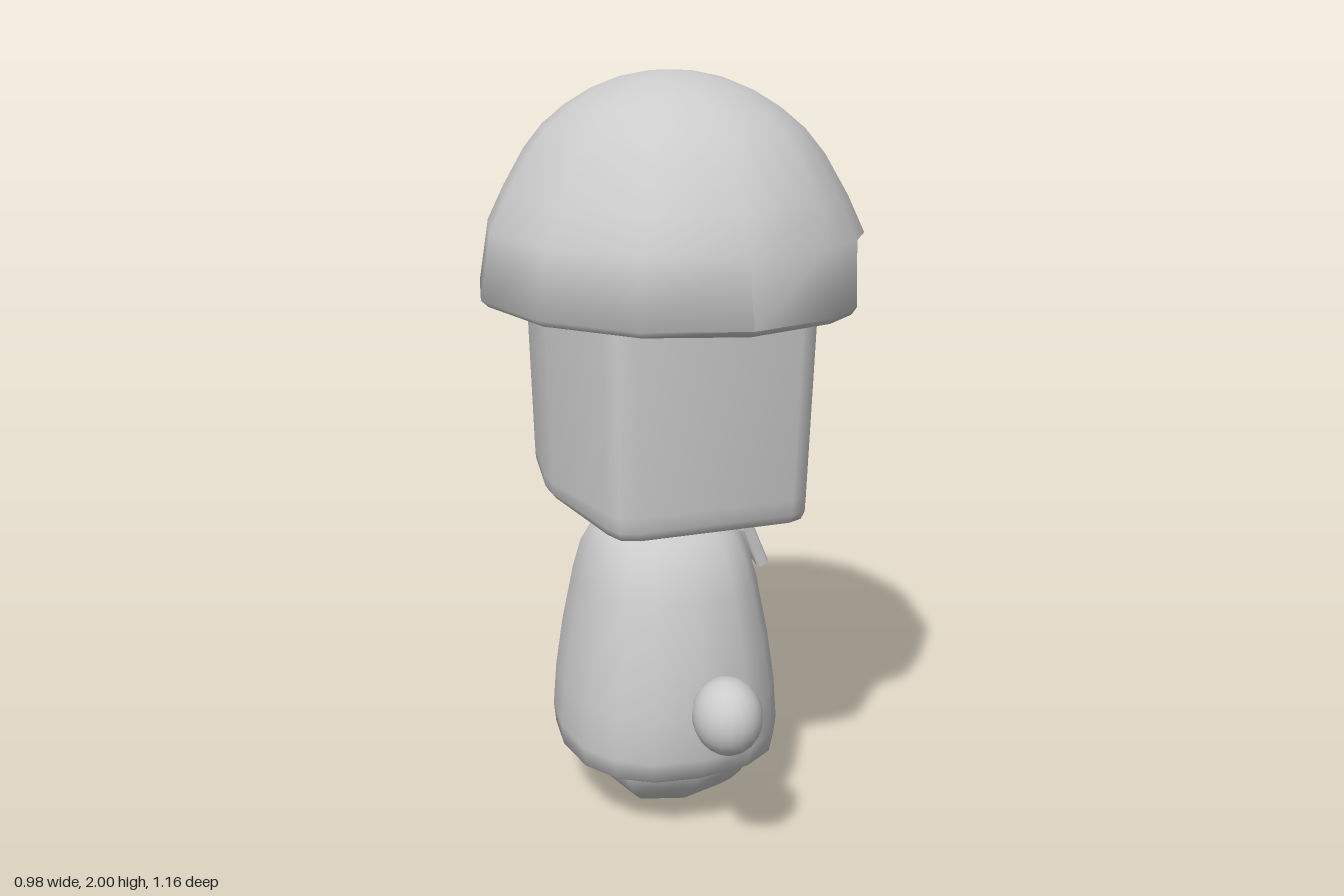
import * as THREE from 'three';
import { toCreasedNormals } from 'three/addons/utils/BufferGeometryUtils.js';

const material = new THREE.MeshStandardMaterial({ color: 0xcccccc, side: THREE.DoubleSide });

function mesh(name, geometry) {
  const m = new THREE.Mesh(geometry, material);
  m.name = name;
  return m;
}

// Skin closed rings of [x, y, z] points, listed from bottom to top
function loft(rings, crease) {
  const n = rings[0].length;
  const index = [];
  for (let r = 0; r < rings.length - 1; r++) {
    for (let i = 0; i < n; i++) {
      const a = r * n + i, b = r * n + (i + 1) % n;
      index.push(a, a + n, b, b, a + n, b + n);
    }
  }
  const g = new THREE.BufferGeometry();
  g.setAttribute('position', new THREE.Float32BufferAttribute(rings.flat(2), 3));
  g.setIndex(index);
  return toCreasedNormals(g, crease);
}

// Softly squared oval rings from a profile of [rx, rz, y]
function softLoft(profile, sides, power) {
  const soft = (v) => Math.sign(v) * Math.abs(v) ** power;
  return loft(profile.map(([rx, rz, y]) => Array.from({ length: sides }, (_, i) => {
    const t = (i / sides) * Math.PI * 2;
    return [-0.008 + rx * soft(Math.cos(t)), y, rz * soft(Math.sin(t))];
  })), 1.2);
}

// Bowl-shaped hair on twelve sides, with a square notch over the face (+x)
function hairGeometry() {
  const at = (deg) => {
    const t = THREE.MathUtils.degToRad(deg);
    return [0.495 * Math.cos(t), 0.58 * Math.sin(t)];
  };
  const columns = [];
  const add = (x, z, cut, notch) => columns.push({ x, z, cut, notch });
  for (const d of [-30, 0, 30]) add(...at(d), true, false);
  add(0.35, 0.4, true, true);
  add(0.35, 0.4, false, true);
  for (let d = 60; d <= 300; d += 30) add(...at(d), false, false);
  add(0.35, -0.4, false, true);
  add(0.35, -0.4, true, true);

  // Underside running from inside the head to the rim
  const rings = [[0, 1.428], [0.93, 1.428], [1, 1.445]].map(([f, y]) => columns.map((c) => {
    const s = c.cut ? 0.985 : 1;
    const ix = c.notch ? 0.15 : c.x * 0.45;
    const iz = c.notch ? c.z : c.z * 0.45;
    return [
      THREE.MathUtils.lerp(ix, c.x * s, f),
      c.cut ? 1.61 : y,
      THREE.MathUtils.lerp(iz, c.z * (c.notch ? 1 : s), f),
    ];
  }));
  // Dome
  const dome = [[0.945, 1.61], [0.88, 1.7], [0.765, 1.8], [0.665, 1.862], [0.545, 1.912], [0.41, 1.953], [0.26, 1.983], [0.12, 1.997], [0, 2]];
  dome.forEach(([s, y], k) => {
    rings.push(columns.map((c) => {
      if (k === 0 && c.notch) return [c.x * 0.985, y, c.z];
      const f = k === 0 && c.cut ? 0.985 : s;
      return [c.x * f + (k ? 0.012 : 0), y, c.z * f];
    }));
  });
  return loft(rings, 1.2);
}

// Six-sided head with slightly bowed face and back and softened corners
function headGeometry() {
  const half = [[0.315, 0.04], [0.262, 0.33], [0.243, 0.378], [0.2, 0.395], [-0.215, 0.395], [-0.262, 0.378], [-0.282, 0.33], [-0.335, 0.04]];
  const outline = [...half, ...half.map(([x, z]) => [x, -z]).reverse()];
  const ring = (y, sx, sz, lift) => outline.map(([x, z]) => [x * sx, y + lift * (1 - Math.abs(z) / 0.395), z * sz]);
  return loft([
    ring(0.887, 0, 0, 0),
    ring(0.89, 0.85, 0.9, 0.02),
    ring(0.898, 0.955, 0.955, 0.02),
    ring(0.92, 0.98, 0.98, 0.01),
    ring(0.96, 0.985, 0.985, 0),
    ring(1.42, 1.02, 1.035, 0),
    ring(1.63, 1.02, 1.02, 0),
    ring(1.63, 0, 0, 0),
  ], 1.2);
}

// Bell-shaped body
function bodyGeometry() {
  return softLoft([
    [0, 0, 0.168], [0.27, 0.285, 0.168], [0.295, 0.312, 0.185], [0.3, 0.323, 0.24], [0.29, 0.322, 0.36],
    [0.27, 0.303, 0.5], [0.24, 0.265, 0.66], [0.22, 0.235, 0.74], [0.19, 0.19, 0.8], [0.137, 0.143, 0.845],
    [0.08, 0.09, 0.874], [0.03, 0.035, 0.887], [0, 0, 0.89],
  ], 16, 0.82);
}

// Rounded eight-sided base, lower half of a squared ball
function baseGeometry() {
  const profile = [];
  for (let i = 0; i <= 9; i++) {
    const t = (i / 9) * Math.PI / 2;
    profile.push([0.235 * Math.sin(t), 0.27 * Math.sin(t), 0.22 - 0.22 * Math.cos(t)]);
  }
  return softLoft(profile, 8, 0.7);
}

// Bow tie leaning back against the chest
function makeBowTie() {
  const bow = new THREE.Group();
  bow.name = 'bowTie';
  const wing = new THREE.Shape([
    [0.03, -0.022], [0.135, -0.062], [0.135, 0.062], [0.03, 0.022],
  ].map(([x, y]) => new THREE.Vector2(x, y)));
  const bevel = { bevelEnabled: true, bevelThickness: 0.006, bevelSize: 0.005, bevelOffset: -0.005, bevelSegments: 1 };
  for (const side of [-1, 1]) {
    const g = new THREE.ExtrudeGeometry(wing, { depth: 0.022, ...bevel });
    g.translate(0, 0, -0.011);
    g.rotateY(side * Math.PI / 2);
    bow.add(mesh(side > 0 ? 'bowWingRight' : 'bowWingLeft', toCreasedNormals(g, 1)));
  }
  const k = 0.04;
  const square = new THREE.Shape([[-k, -k], [k, -k], [k, k], [-k, k]].map(([x, y]) => new THREE.Vector2(x, y)));
  const knot = new THREE.ExtrudeGeometry(square, { depth: 0.032, ...bevel, bevelSize: 0.01, bevelOffset: -0.01 });
  knot.translate(0, 0, -0.016);
  knot.rotateY(Math.PI / 2);
  bow.add(mesh('bowKnot', toCreasedNormals(knot, 1)));
  bow.position.set(0.209, 0.75, 0);
  bow.rotation.z = 0.4;
  return bow;
}

export function createModel() {
  const model = new THREE.Group();
  model.name = 'figure';
  model.add(mesh('hair', hairGeometry()));
  model.add(mesh('head', headGeometry()));
  model.add(mesh('body', bodyGeometry()));
  model.add(mesh('base', baseGeometry()));
  model.add(makeBowTie());

  // Floating hands
  for (const side of [-1, 1]) {
    const hand = mesh(side > 0 ? 'handLeft' : 'handRight', new THREE.SphereGeometry(1, 20, 14));
    hand.name = side > 0 ? 'handRight' : 'handLeft';
    hand.scale.set(0.088, 0.1, 0.099);
    hand.position.set(-0.01, 0.44, side * 0.473);
    model.add(hand);
  }
  return model;
}
